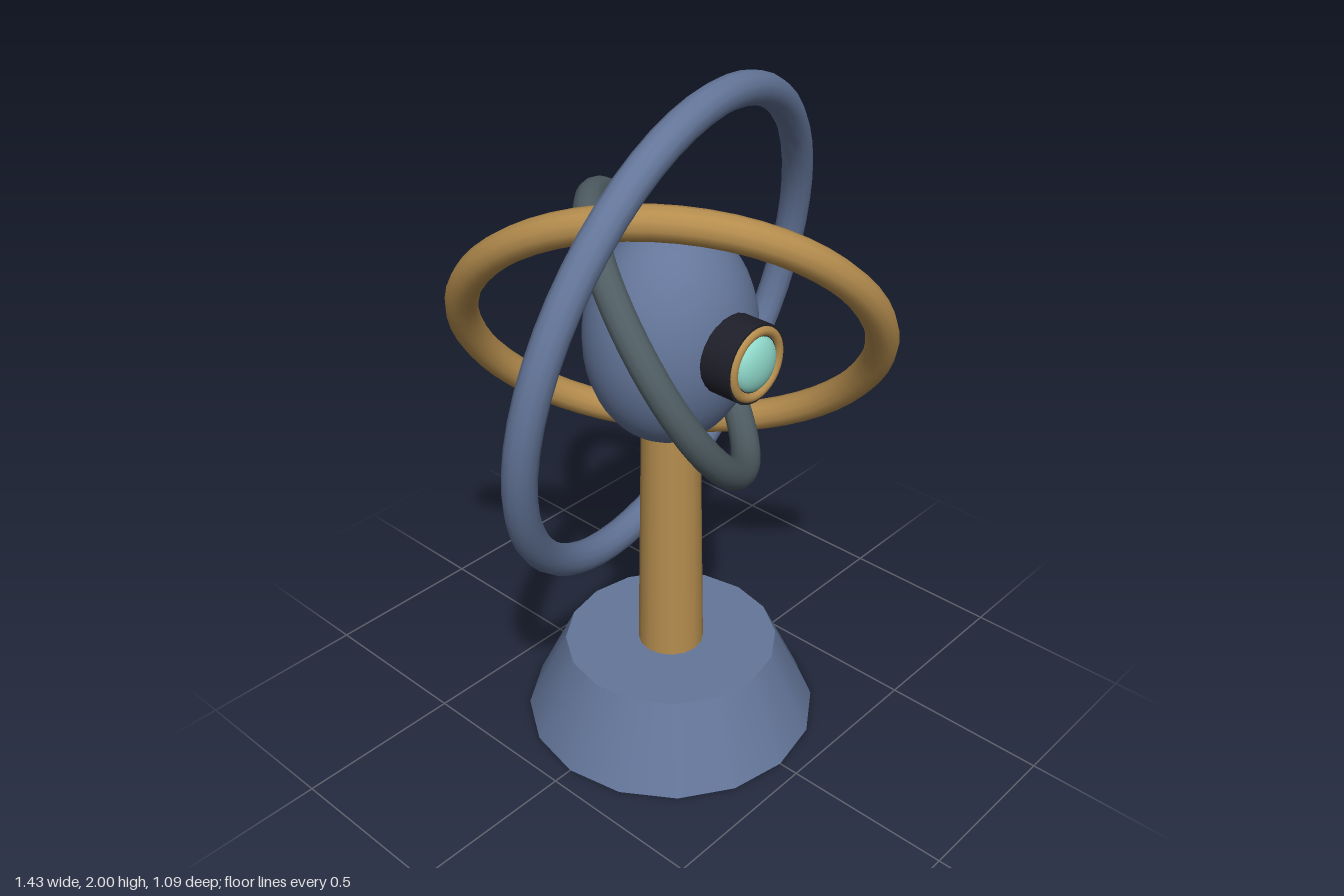
import * as THREE from 'three';

const mat = (name, color) => {
  const m = new THREE.MeshStandardMaterial({ color });
  m.name = name;
  return m;
};

export function createModel() {
  const blue = mat('slateBlue', 0x64769a);
  const gold = mat('brass', 0xb58d4e);
  const grey = mat('darkGrey', 0x4f5d63);
  const dark = mat('nearBlack', 0x1f1f2a);
  const teal = mat('paleTeal', 0x8fd8ca);

  const model = new THREE.Group();
  model.name = 'ringedOrb';
  const add = (name, geometry, material, x, y, z, parent = model) => {
    const mesh = new THREE.Mesh(geometry, material);
    mesh.name = name;
    mesh.position.set(x, y, z);
    parent.add(mesh);
    return mesh;
  };
  const centreY = 1.285;

  // Stand: tapered base and column
  add('base', new THREE.CylinderGeometry(0.32, 0.44, 0.25, 16), blue, 0, 0.125, 0);
  add('column', new THREE.CylinderGeometry(0.083, 0.098, 0.82, 16), gold, 0, 0.66, 0);

  // Egg-shaped core
  add('core', new THREE.SphereGeometry(1, 32, 24), blue, 0, centreY, 0).scale.set(0.254, 0.318, 0.228);

  // Eye: dark barrel, brass rim and domed lens, facing forward
  const eye = new THREE.Group();
  eye.name = 'eye';
  eye.position.set(0, 1.295, 0);
  model.add(eye);
  const barrel = new THREE.CylinderGeometry(0.112, 0.112, 0.1, 24).rotateX(Math.PI / 2);
  add('eyeBarrel', barrel, dark, 0, 0, 0.25, eye);
  add('eyeRim', new THREE.TorusGeometry(0.092, 0.014, 10, 32), gold, 0, 0, 0.297, eye);
  add('eyeLens', new THREE.SphereGeometry(0.08, 24, 16), teal, 0, 0, 0.29, eye).scale.z = 0.48;

  // Three tilted rings, each set by the axis it turns around
  const rings = [
    ['outerRing', 0.686, 0.045, blue, [0.199, -0.195, 0.961]],
    ['middleRing', 0.566, 0.045, gold, [0.656, 0.587, -0.474]],
    ['innerRing', 0.424, 0.042, grey, [0.589, 0.498, 0.64]],
  ];
  const forward = new THREE.Vector3(0, 0, 1);
  for (const [name, radius, tube, material, axis] of rings) {
    const ring = add(name, new THREE.TorusGeometry(radius, tube, 12, 56), material, 0, centreY, 0);
    ring.quaternion.setFromUnitVectors(forward, new THREE.Vector3(...axis).normalize());
  }
  return model;
}
